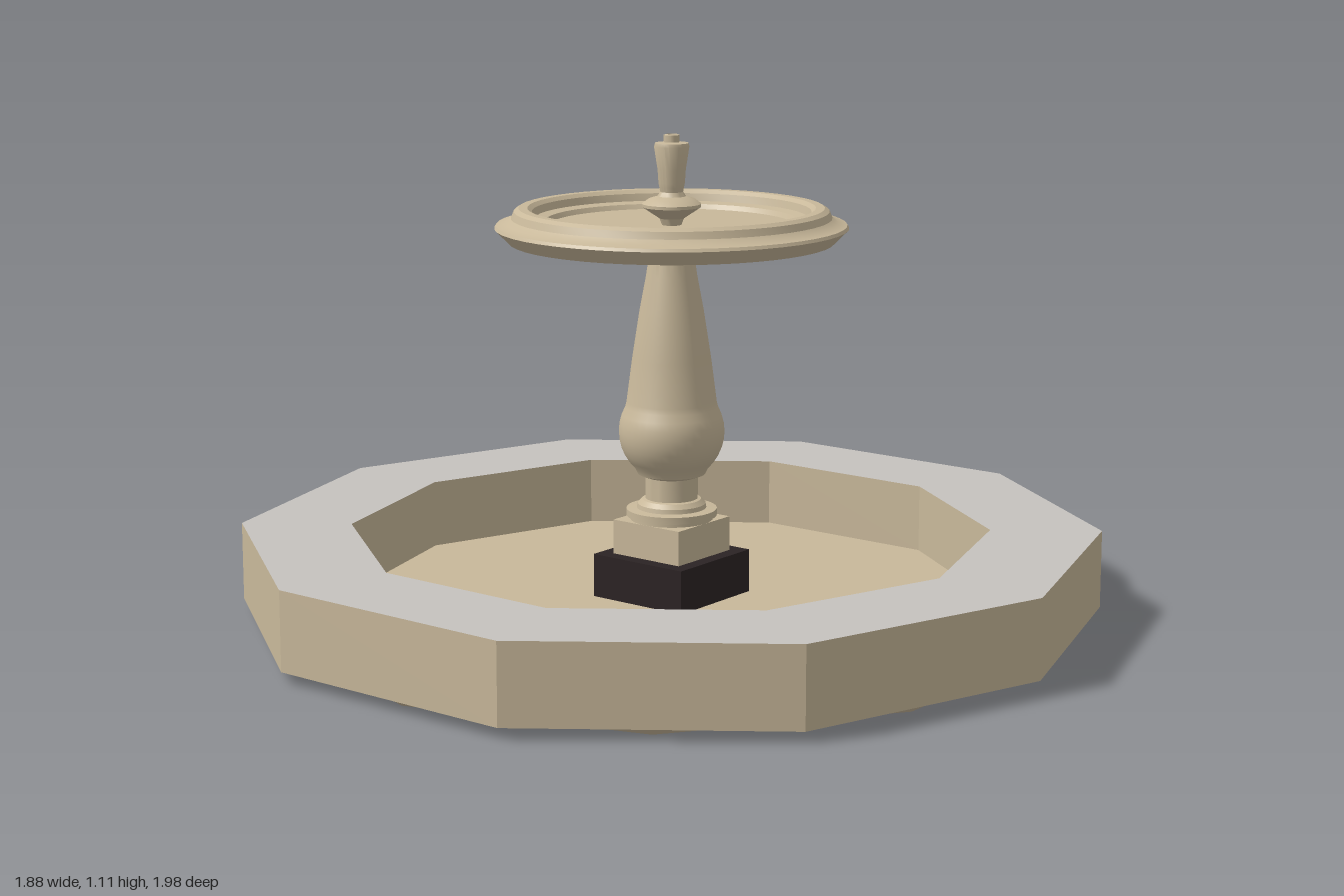
import * as THREE from 'three';
import { toCreasedNormals } from 'three/addons/utils/BufferGeometryUtils.js';

const stone = new THREE.MeshStandardMaterial({ color: 0xc8b89a });
stone.name = 'beige stone';
const capStone = new THREE.MeshStandardMaterial({ color: 0xc6c2be });
capStone.name = 'grey cap stone';
const plinthStone = new THREE.MeshStandardMaterial({ color: 0x2b2324 });
plinthStone.name = 'dark plinth';

const CREASE = 0.5;

// Turned part from [radius, height] pairs, with hard edges kept sharp
function turned(name, profile, material, sides = 40, phase = 0) {
  const points = profile.map(([r, y]) => new THREE.Vector2(r, y));
  const geometry = toCreasedNormals(new THREE.LatheGeometry(points, sides, phase), CREASE);
  const mesh = new THREE.Mesh(geometry, material);
  mesh.name = name;
  return mesh;
}

// Square block standing on height y
function block(name, width, height, y, material) {
  const mesh = new THREE.Mesh(new THREE.BoxGeometry(width, height, width), material);
  mesh.name = name;
  mesh.position.y = y + height / 2;
  return mesh;
}

export function createModel() {
  const model = new THREE.Group();
  model.name = 'fountain';

  // Ten-sided pool with a corner towards the front
  const pool = new THREE.Group();
  pool.name = 'pool';
  pool.add(
    turned('poolFoot', [[0, 0], [0.895, 0], [0.935, 0.026]], stone, 10, Math.PI / 10),
    turned('poolOuterWall', [[0, 0.025], [0.99, 0.025], [0.99, 0.205]], stone, 10),
    turned('poolCap', [[0.99, 0.205], [0.735, 0.205]], capStone, 10),
    turned('poolBasin', [[0.735, 0.205], [0.735, 0.045], [0, 0.045]], stone, 10)
  );
  model.add(pool);

  // Centre piece
  const centre = new THREE.Group();
  centre.name = 'centrePiece';
  centre.position.x = 0.008;
  centre.add(
    block('plinth', 0.255, 0.1, 0.045, plinthStone),
    block('pedestalBlock', 0.19, 0.08, 0.145, stone)
  );

  // Stepped foot and baluster column
  centre.add(turned('columnFoot', [
    [0.095, 0.224], [0.095, 0.232], [0.104, 0.234], [0.104, 0.25], [0.08, 0.252],
    [0.078, 0.262], [0.068, 0.272], [0.06, 0.274], [0.06, 0.345]
  ], stone));
  const column = [[0.06, 0.325], [0.078, 0.332]];
  for (let i = 0; i <= 8; i++) {
    const a = THREE.MathUtils.lerp(-0.8, 0.5, i / 8);
    column.push([0.121 * Math.cos(a), 0.43 + 0.118 * Math.sin(a)]);
  }
  column.push([0.103, 0.5], [0.09, 0.6], [0.073, 0.71], [0.058, 0.79], [0.05, 0.845],
    [0.06, 0.848], [0.06, 0.856], [0.072, 0.858], [0.072, 0.87]);
  centre.add(turned('column', column, stone));

  // Shallow upper bowl with a moulded rim
  centre.add(turned('bowl', [
    [0, 0.862], [0.28, 0.862], [0.285, 0.868], [0.368, 0.868], [0.4, 0.9], [0.396, 0.907],
    [0.375, 0.912], [0.362, 0.922], [0.356, 0.938], [0.345, 0.945], [0.325, 0.945],
    [0.315, 0.937], [0.31, 0.92], [0.285, 0.916], [0.278, 0.905], [0, 0.905]
  ], stone, 48));

  // Spout finial
  centre.add(turned('finial', [
    [0.02, 0.9], [0.028, 0.92], [0.055, 0.938], [0.067, 0.946], [0.067, 0.953],
    [0.052, 0.964], [0.032, 0.97], [0.026, 0.98], [0.028, 0.99], [0.03, 1.0],
    [0.032, 1.03], [0.04, 1.082], [0.038, 1.09], [0.018, 1.092], [0.018, 1.108],
    [0.012, 1.11], [0.01, 1.095], [0, 1.095]
  ], stone, 24));
  model.add(centre);

  return model;
}
